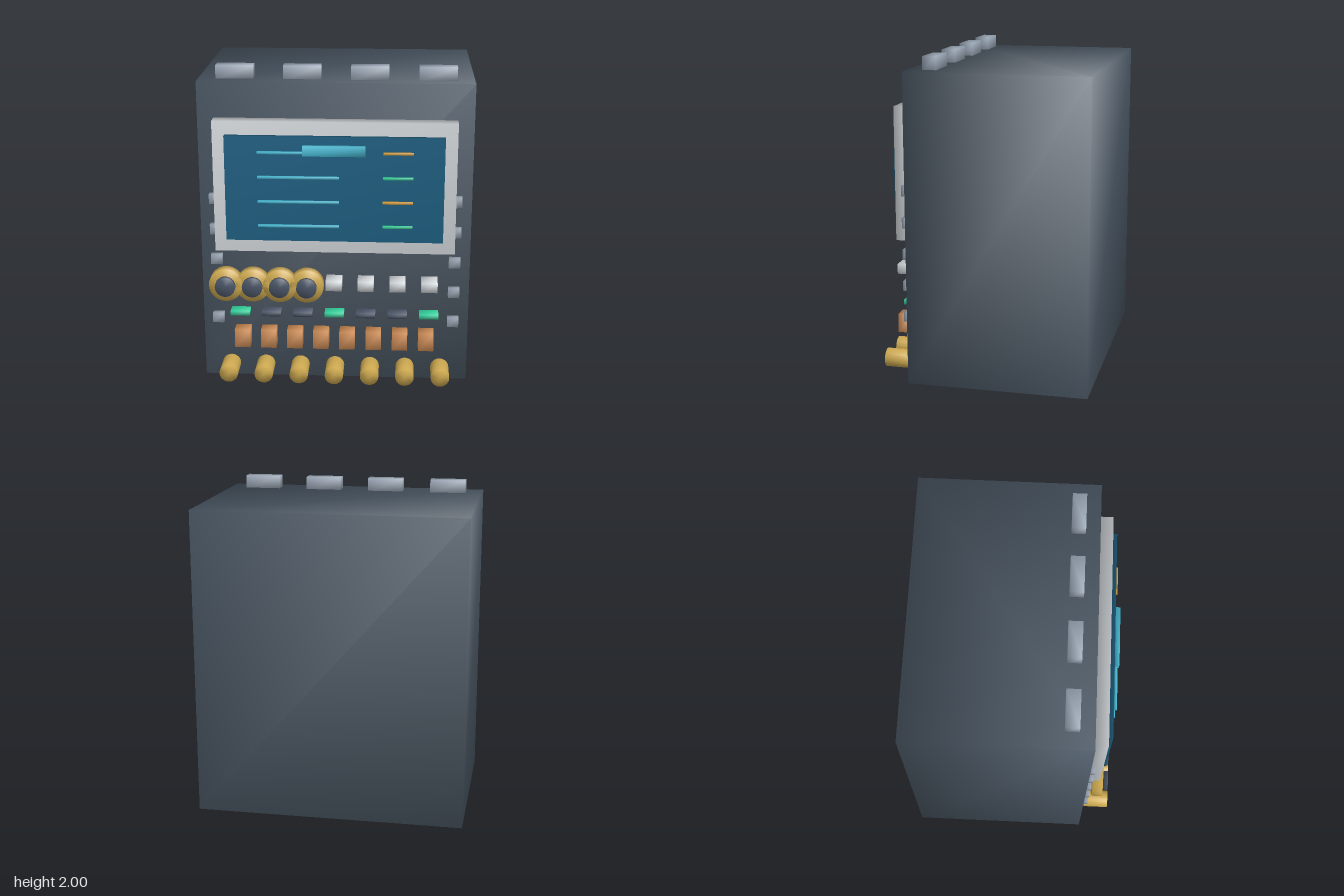
import * as THREE from 'three';
import { mergeVertices } from 'three/addons/utils/BufferGeometryUtils.js';

const material = (name, color) => {
  const m = new THREE.MeshStandardMaterial({ color });
  m.name = name;
  return m;
};

// Share corner vertices so that normals blend softly across the edges.
function soften(geometry) {
  geometry.deleteAttribute('normal');
  geometry.deleteAttribute('uv');
  const welded = mergeVertices(geometry);
  welded.computeVertexNormals();
  return welded;
}

export function createModel() {
  const model = new THREE.Group();
  model.name = 'controlConsole';

  const slate = material('slate', 0x4b5865);
  const steel = material('steel', 0x97a3b2);
  const silver = material('silver', 0xd3d7da);
  const screenBlue = material('screenBlue', 0x1d5e80);
  const cyan = material('cyan', 0x45b8d2);
  const green = material('green', 0x30cc98);
  const amber = material('amber', 0xd09a38);
  const brass = material('brass', 0xcca850);
  const copper = material('copper', 0xd69258);
  const charcoal = material('charcoal', 0x4a5567);

  const add = (name, geometry, mat, x, y, z) => {
    const mesh = new THREE.Mesh(soften(geometry), mat);
    mesh.name = name;
    mesh.position.set(x, y, z);
    model.add(mesh);
  };
  // Box centred on x and y, reaching from z0 to z1.
  const box = (name, mat, x, y, w, h, z0, z1) =>
    add(name, new THREE.BoxGeometry(w, h, z1 - z0), mat, x, y, (z0 + z1) / 2);
  // Cylinder lying along z, reaching from z0 to z1.
  const rod = (name, mat, x, y, r, z0, z1, sides) =>
    add(name, new THREE.CylinderGeometry(r, r, z1 - z0, sides).rotateX(Math.PI / 2), mat, x, y, (z0 + z1) / 2);

  // Cabinet with a row of tabs along its top
  box('cabinet', slate, 0, 0.96, 1.67, 1.92, -0.65, 0.465);
  for (let i = 0; i < 4; i++) {
    box('topTab', steel, -0.615 + i * 0.41, 1.955, 0.228, 0.09, 0.29, 0.375);
  }

  // Display
  box('displayFrame', silver, 0, 1.29, 1.47, 0.82, 0.46, 0.555);
  box('displayScreen', screenBlue, 0, 1.29, 1.32, 0.655, 0.55, 0.585);
  box('displayHeader', cyan, 0, 1.537, 0.375, 0.062, 0.588, 0.617);
  for (let i = 0; i < 4; i++) {
    const y = 1.522 - i * 0.153;
    box('displayLine', cyan, -0.215, y, 0.49, 0.015, 0.592, 0.609);
    box('displayReadout', i % 2 ? green : amber, 0.383, y, 0.182, 0.015, 0.585, 0.6);
  }

  // Fasteners down both sides
  for (const side of [-1, 1]) {
    for (let i = 0; i < 5; i++) {
      box('fastener', steel, side * 0.739, 1.195 - i * 0.197, 0.07, 0.063, 0.46, 0.505);
    }
  }

  // Dials and push keys
  for (let i = 0; i < 4; i++) {
    const x = -0.675 + i * 0.168;
    rod('dialRing', brass, x, 0.66, 0.104, 0.517, 0.584, 28);
    rod('dialCap', charcoal, x, 0.66, 0.063, 0.593, 0.618, 24);
    box('pushKey', silver, -0.005 + i * 0.197, 0.667, 0.1, 0.062, 0.46, 0.585);
  }

  // Indicator strip
  for (let i = 0; i < 7; i++) {
    box('indicator', i % 3 ? charcoal : green, -0.595 + i * 0.197, 0.457, 0.12, 0.03, 0.46, 0.546);
  }

  // Switch row
  for (let i = 0; i < 8; i++) {
    box('switchBlock', copper, -0.577 + i * 0.164, 0.307, 0.096, 0.118, 0.503, 0.594);
  }

  // Sockets along the bottom
  for (let i = 0; i < 7; i++) {
    rod('socket', brass, -0.663 + i * 0.221, 0.093, 0.058, 0.49, 0.654, 20);
  }

  return model;
}
